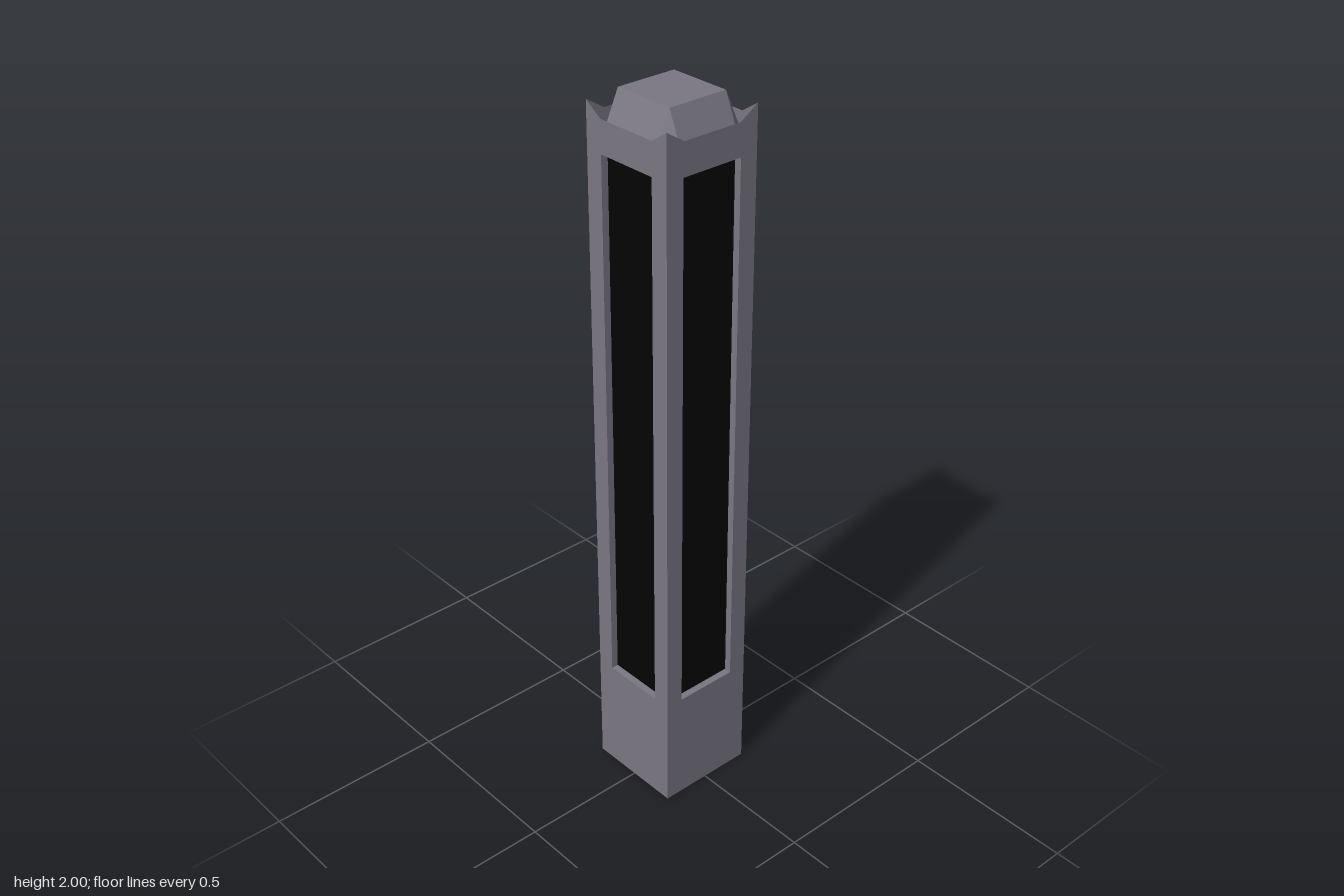
import * as THREE from 'three';

const R = 0.1415;                    // half width of the post
const NX = 0.087, NZ = 0.09;         // half size of the flat crown top
const EDGE = 1.936, TIP = 1.97;      // wall top in the middle and at the corners
const TOP = 2, DROP = 0.12;          // crown height and fall of its slopes
const PW = 0.09, P0 = 0.326, P1 = 1.848, DEPTH = 0.02; // recessed panel

const stone = new THREE.MeshStandardMaterial({ color: 0x7a7783, flatShading: true });
const dark = new THREE.MeshStandardMaterial({ color: 0x040404, flatShading: true });
// The walls stand free above the crown slopes, so both faces can be seen
const wallStone = stone.clone();
wallStone.side = THREE.DoubleSide;

function mesh(name, geometry, material) {
  const m = new THREE.Mesh(geometry, material);
  m.name = name;
  return m;
}

// Flat quads, each with corners counter-clockwise from its front
function fromQuads(quads) {
  const points = quads.flatMap(([a, b, c, d]) => [a, b, c, a, c, d]);
  const g = new THREE.BufferGeometry();
  g.setAttribute('position', new THREE.Float32BufferAttribute(points.flat(), 3));
  g.computeVertexNormals();
  return g;
}

// One side of the post: framed wall, recess walls and dark panel, facing +z
function createSide(notch) {
  const side = new THREE.Group();
  const outline = new THREE.Shape([
    [-R, 0], [R, 0], [R, TIP], [notch, EDGE], [-notch, EDGE], [-R, TIP],
  ].map(([x, y]) => new THREE.Vector2(x, y)));
  const opening = [[-PW, P0], [-PW, P1], [PW, P1], [PW, P0]];
  outline.holes.push(new THREE.Path(opening.map(([x, y]) => new THREE.Vector2(x, y))));
  const wall = mesh('wall', new THREE.ShapeGeometry(outline), wallStone);
  wall.position.z = R;

  const back = R - DEPTH;
  const recess = mesh('recess', fromQuads(opening.map(([x0, y0], i) => {
    const [x1, y1] = opening[(i + 1) % 4];
    return [[x0, y0, R], [x0, y0, back], [x1, y1, back], [x1, y1, R]];
  })), stone);

  const panel = mesh('panel', new THREE.PlaneGeometry(2 * PW, P1 - P0), dark);
  panel.position.set(0, (P0 + P1) / 2, back);
  side.add(wall, recess, panel);
  return side;
}

// Crown: flat top, four steep slopes and four corner facets sinking behind the walls
function createCrown() {
  const xs = [-R, -NX, NX, R], zs = [-R, -NZ, NZ, R];
  const outer = (i) => (i === 0 || i === 3 ? 1 : 0);
  const point = (i, j) => [xs[i], TOP - DROP * (outer(i) + outer(j)), zs[j]];
  const quads = [];
  for (let i = 0; i < 3; i++) {
    for (let j = 0; j < 3; j++) {
      quads.push([point(i, j), point(i, j + 1), point(i + 1, j + 1), point(i + 1, j)]);
    }
  }
  return mesh('crown', fromQuads(quads), stone);
}

export function createModel() {
  const model = new THREE.Group();
  model.name = 'post';
  ['front', 'left', 'back', 'right'].forEach((name, i) => {
    const side = createSide(i % 2 ? NZ : NX);
    side.name = name + 'Side';
    side.rotation.y = (i * Math.PI) / 2;
    model.add(side);
  });
  const base = mesh('base', new THREE.PlaneGeometry(2 * R, 2 * R), stone);
  base.rotation.x = Math.PI / 2;
  model.add(createCrown(), base);
  return model;
}
